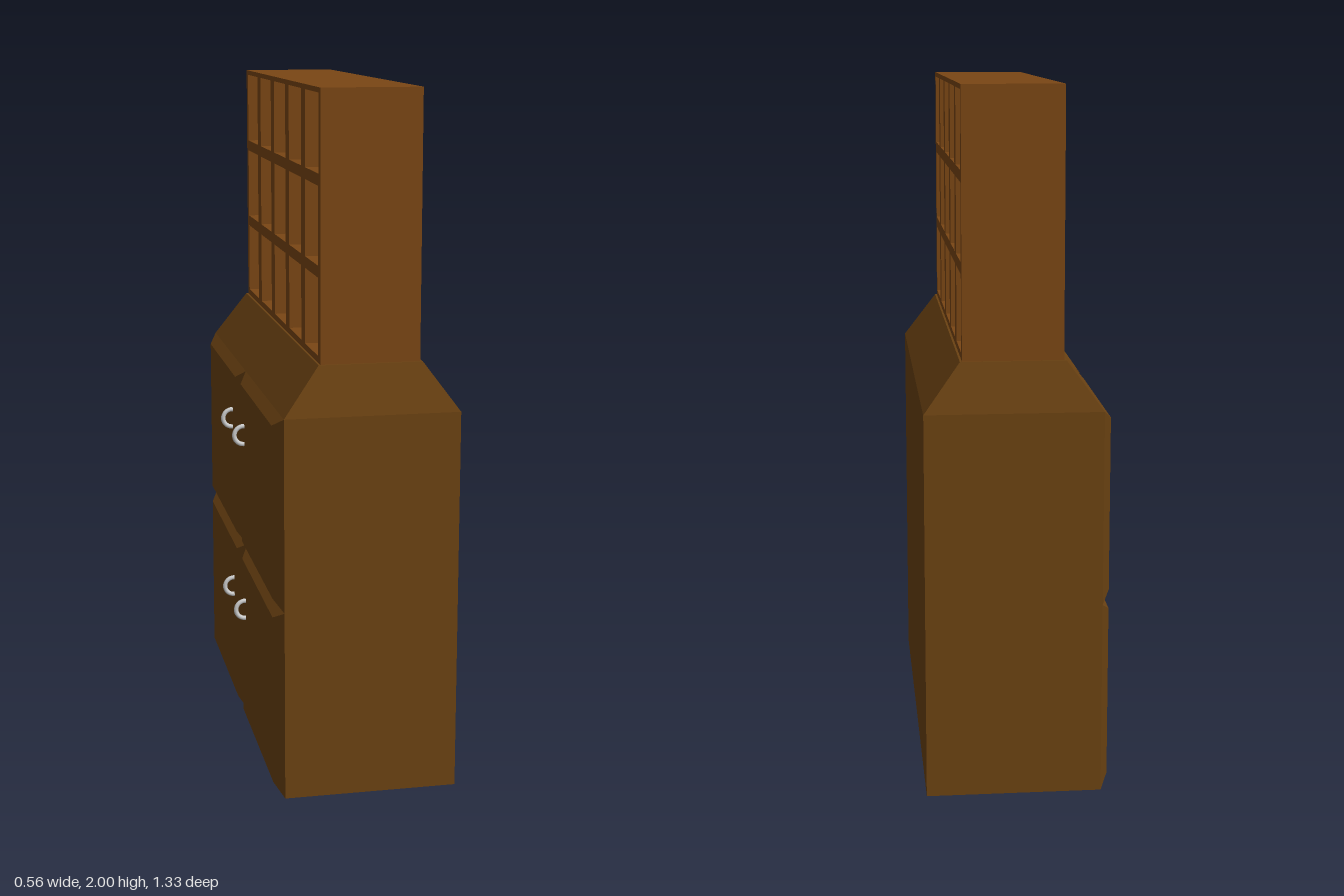
import * as THREE from 'three';

const darkWood = new THREE.MeshStandardMaterial({ color: 0x6b4212, flatShading: true });
const wood = new THREE.MeshStandardMaterial({ color: 0x7a4614, flatShading: true });
const metal = new THREE.MeshStandardMaterial({ color: 0xcccccc });

function add(parent, name, geometry, material, x = 0, y = 0, z = 0) {
  const mesh = new THREE.Mesh(geometry, material);
  mesh.name = name;
  mesh.position.set(x, y, z);
  parent.add(mesh);
  return mesh;
}

// Box whose vertices are moved by a rule.
function shapedBox(w, h, d, rule) {
  const geometry = new THREE.BoxGeometry(w, h, d);
  const p = geometry.attributes.position;
  const v = new THREE.Vector3();
  for (let i = 0; i < p.count; i++) {
    rule(v.fromBufferAttribute(p, i));
    p.setXYZ(i, v.x, v.y, v.z);
  }
  geometry.computeVertexNormals();
  return geometry;
}

export function createModel() {
  const model = new THREE.Group();
  model.name = 'cabinet';

  const centreX = 0.03, doorPlane = -0.22;
  const width = 1.33, depth = 0.5, tier = 0.556;

  // Two stacked cupboard tiers, each with a pair of bevelled doors and ring handles
  const doorGeometry = shapedBox(0.025, tier, width / 2, (v) => {
    if (v.x < 0) {
      v.y -= Math.sign(v.y) * 0.028;
      v.z -= Math.sign(v.z) * 0.055;
    }
  });
  const ringGeometry = new THREE.TorusGeometry(0.028, 0.007, 10, 32);
  for (let row = 0; row < 2; row++) {
    const y = tier * (row + 0.5);
    add(model, 'cupboardTier', new THREE.BoxGeometry(depth, tier, width), darkWood, centreX, y, 0);
    for (const side of [-1, 1]) {
      add(model, 'door', doorGeometry, darkWood, doorPlane - 0.0125, y, side * width / 4);
      add(model, 'ringHandle', ringGeometry, metal, -0.247, y + 0.105, side * 0.117);
    }
  }

  // Sloping shoulder between cupboard and shelves
  const shoulder = shapedBox(depth, 0.14, width, (v) => {
    if (v.y > 0) {
      v.x = Math.sign(v.x) * 0.147;
      v.z = Math.sign(v.z) * 0.632;
    }
  });
  add(model, 'shoulder', shoulder, darkWood, centreX, 2 * tier + 0.07, 0);

  // Open pigeonhole rack, five by three, cut right through
  const base = 1.25, half = 0.625, rackDepth = 0.282;
  const outline = new THREE.Shape([
    new THREE.Vector2(-half, base), new THREE.Vector2(half, base),
    new THREE.Vector2(half, 2), new THREE.Vector2(-half, 2),
  ]);
  for (let col = -2; col <= 2; col++) {
    for (const [low, high] of [[1.271, 1.488], [1.521, 1.738], [1.771, 1.986]]) {
      const a = col * 0.25 - 0.096, b = col * 0.25 + 0.096;
      outline.holes.push(new THREE.Path([
        new THREE.Vector2(a, low), new THREE.Vector2(a, high),
        new THREE.Vector2(b, high), new THREE.Vector2(b, low),
      ]));
    }
  }
  const rackGeometry = new THREE.ExtrudeGeometry(outline, { depth: rackDepth, bevelEnabled: false });
  rackGeometry.translate(0, 0, -rackDepth / 2);
  rackGeometry.rotateY(Math.PI / 2);
  add(model, 'pigeonholeRack', rackGeometry, wood, centreX, 0, 0);

  return model;
}
